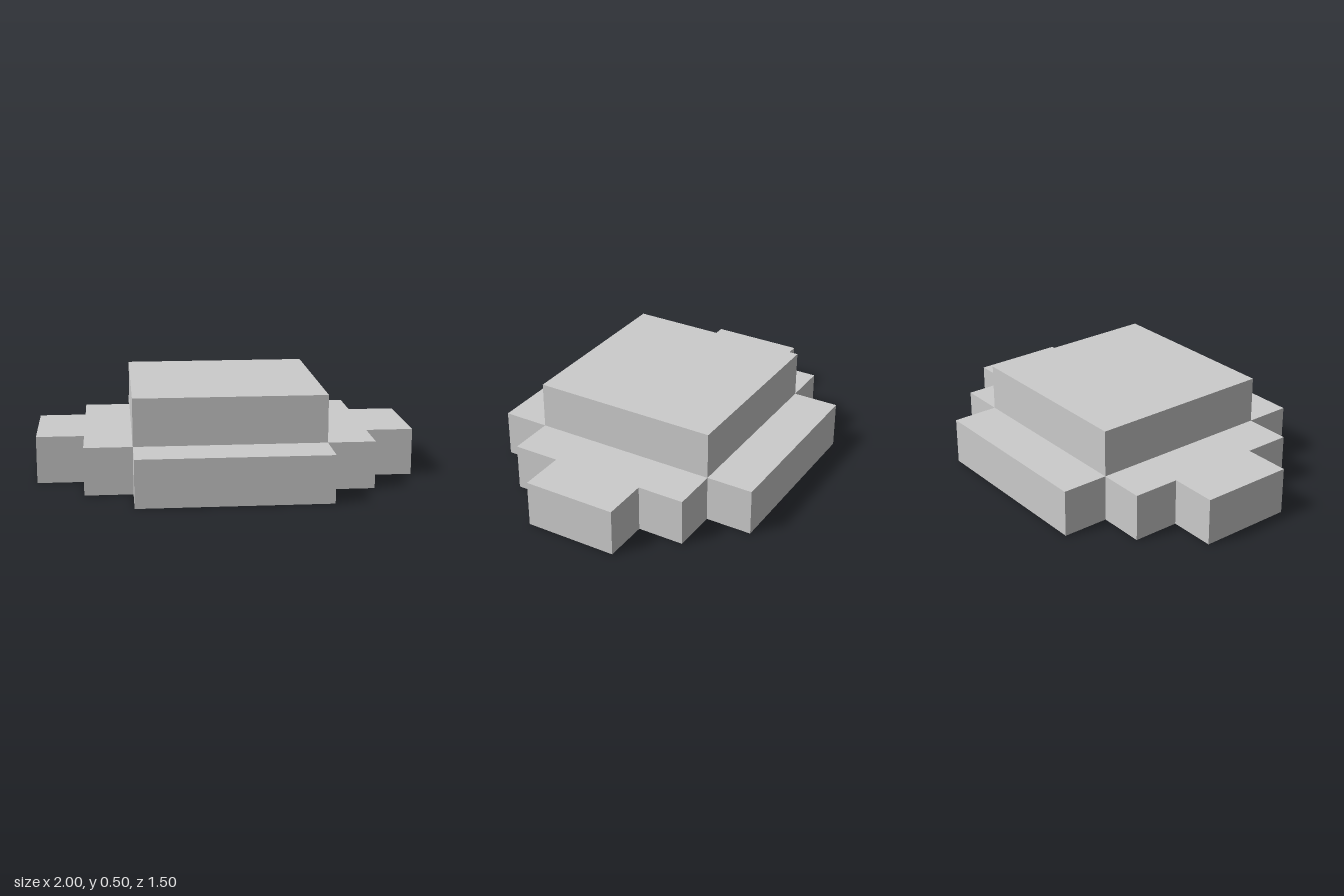
import * as THREE from 'three';

export function createModel() {
  const group = new THREE.Group();
  const material = new THREE.MeshStandardMaterial({ color: 0xcccccc, flatShading: true });

  // Stepped base: one quarter of the outline, mirrored into all four quadrants
  const quarter = [[1, 0.25], [0.75, 0.25], [0.75, 0.5], [0.5, 0.5], [0.5, 0.75]];
  const outline = [];
  for (const [sx, sz] of [[1, 1], [-1, 1], [-1, -1], [1, -1]]) {
    const corners = quarter.map(([x, z]) => new THREE.Vector2(x * sx, z * sz));
    if (sx * sz < 0) corners.reverse();
    outline.push(...corners);
  }
  const baseGeometry = new THREE.ExtrudeGeometry(new THREE.Shape(outline), { depth: 0.25, bevelEnabled: false });
  baseGeometry.rotateX(-Math.PI / 2);
  const base = new THREE.Mesh(baseGeometry, material);
  base.name = 'steppedBase';
  group.add(base);

  // Raised square block in the middle
  const block = new THREE.Mesh(new THREE.BoxGeometry(1, 0.25, 1), material);
  block.name = 'upperBlock';
  block.position.y = 0.375;
  group.add(block);

  return group;
}
